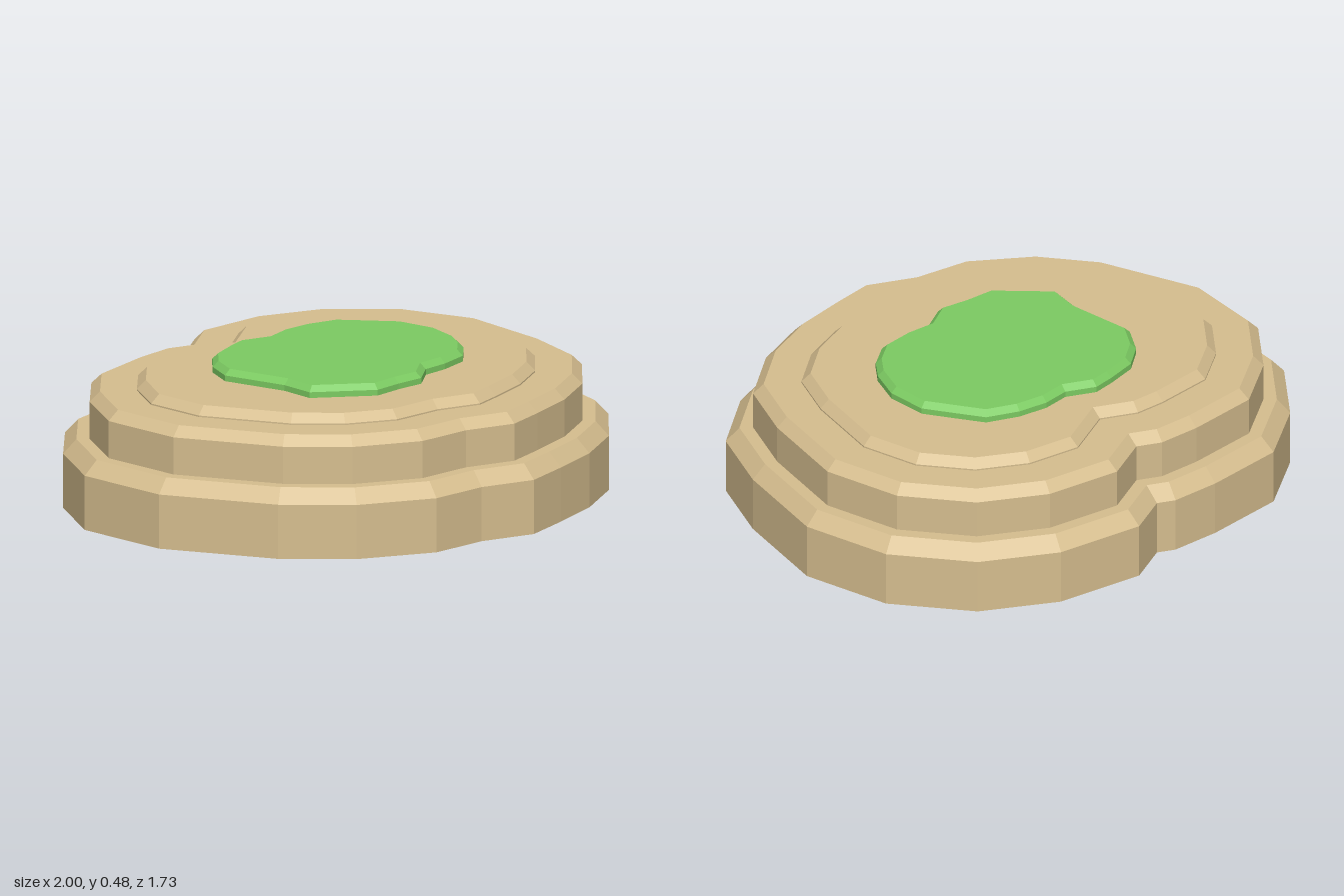
import * as THREE from 'three';

// Outlines as [x, z], running left, back, right, front
const ROCK = [
  [-1, -0.07], [-0.94, -0.42], [-0.74, -0.65], [-0.5, -0.81], [-0.2, -0.83], [-0.02, -0.82],
  [0.04, -0.79], [0.2, -0.865], [0.52, -0.81], [0.77, -0.66], [0.95, -0.4], [1, -0.07],
  [0.89, 0.3], [0.76, 0.56], [0.52, 0.73], [0.29, 0.81], [0.08, 0.84], [-0.11, 0.86],
  [-0.29, 0.77], [-0.5, 0.73], [-0.73, 0.56], [-0.88, 0.34],
];
const GRASS = [
  [-0.41, -0.21], [-0.34, -0.31], [-0.25, -0.375], [-0.13, -0.4], [-0.05, -0.41], [0.05, -0.36],
  [0.15, -0.37], [0.26, -0.35], [0.37, -0.3], [0.42, -0.21], [0.48, -0.1], [0.475, 0.05],
  [0.42, 0.17], [0.36, 0.24], [0.27, 0.3], [0.15, 0.31], [0.05, 0.3], [-0.055, 0.355],
  [-0.16, 0.335], [-0.27, 0.325], [-0.355, 0.235], [-0.43, 0.155], [-0.4, 0.03],
];

// Moves every edge of an outline inward by d, with mitred corners
function inset(outline, d) {
  const pts = outline.map(([x, z]) => new THREE.Vector2(x, z));
  const n = pts.length;
  const normals = pts.map((p, i) => {
    const e = pts[(i + 1) % n].clone().sub(p).normalize();
    return new THREE.Vector2(e.y, -e.x);
  });
  return pts.map((p, i) => {
    const a = normals[(i + n - 1) % n], b = normals[i];
    return p.clone().addScaledVector(a.clone().add(b), -d / (1 + a.dot(b)));
  });
}

// Stacks rings of [height, inset] into a closed, faceted slab
function slab(name, outline, levels, material) {
  const rings = levels.map(([y, d]) =>
    inset(outline, d).map((p) => new THREE.Vector3(p.x, y, p.y)));
  const n = outline.length;
  const tris = [];
  for (let k = 0; k + 1 < rings.length; k++) {
    for (let i = 0; i < n; i++) {
      const j = (i + 1) % n;
      const a = rings[k][i], b = rings[k][j], c = rings[k + 1][j], d = rings[k + 1][i];
      tris.push(a, d, b, b, d, c);
    }
  }
  const cap = (ring, up) => {
    const flat = ring.map((p) => new THREE.Vector2(p.x, p.z));
    for (const [a, b, c] of THREE.ShapeUtils.triangulateShape(flat, [])) {
      tris.push(ring[a], ring[up ? c : b], ring[up ? b : c]);
    }
  };
  cap(rings[0], false);
  cap(rings[rings.length - 1], true);
  const geometry = new THREE.BufferGeometry().setFromPoints(tris);
  geometry.computeVertexNormals();
  const mesh = new THREE.Mesh(geometry, material);
  mesh.name = name;
  return mesh;
}

export function createModel() {
  const sand = new THREE.MeshStandardMaterial({ color: 0xd6be8f });
  sand.name = 'sandstone';
  const green = new THREE.MeshStandardMaterial({ color: 0x7ccb62 });
  green.name = 'grass green';

  const group = new THREE.Group();
  group.name = 'steppedRock';
  group.add(
    // Three stone steps, each with a bevelled rim
    slab('lowerStep', ROCK, [[0, 0], [0.19, 0], [0.24, 0.045]], sand),
    slab('middleStep', ROCK, [[0.24, 0.09], [0.37, 0.09], [0.405, 0.125]], sand),
    slab('upperStep', ROCK, [[0.405, 0.25], [0.41, 0.25], [0.44, 0.28]], sand),
    // Grass patch on the summit
    slab('grassPatch', GRASS, [[0.44, 0], [0.46, 0], [0.48, 0.02]], green),
  );
  return group;
}
